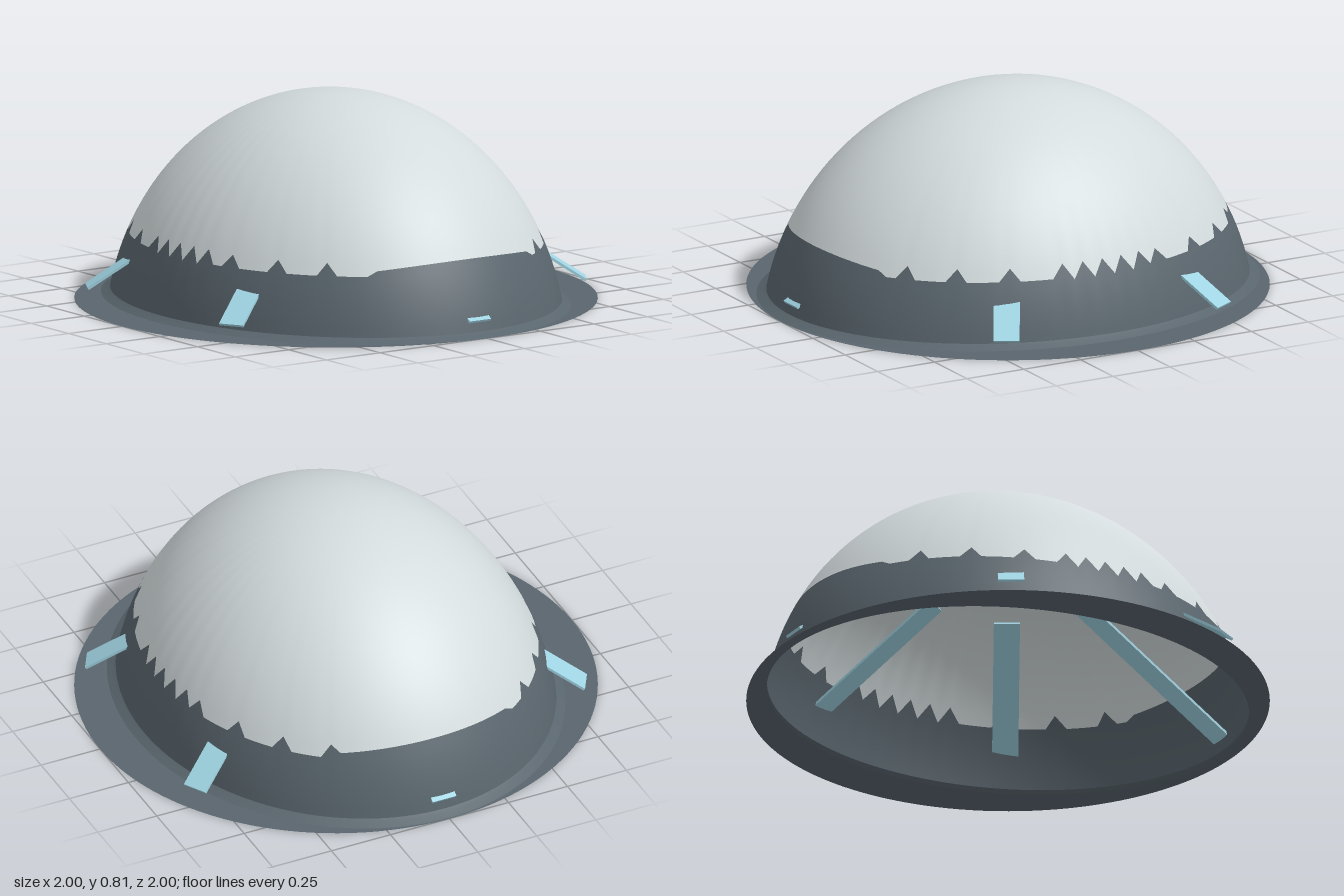
import * as THREE from 'three';

const SEGMENTS = 128;
const DEPTH = 0.85; // the dome is oval: z is 0.85 of x

const material = (name, color) => {
  const m = new THREE.MeshStandardMaterial({ color, side: THREE.DoubleSide });
  m.name = name;
  return m;
};

// Radius of the dome at a given height
const domeRadius = (y) => 0.98 * Math.sqrt(Math.max(0, 1 - ((y + 0.2) / 1.005) ** 2));

// Height of the jagged line between canopy and band
function edgeHeight(i) {
  const t = (i / SEGMENTS) * Math.PI * 2;
  const s = Math.abs(Math.sin(t)), c = Math.abs(Math.cos(t));
  if (s < 0.5) return 0.285 - 0.1 * s * s;
  if (c < 0.24) return i % 2 ? 0.235 : 0.295;
  return i % 5 === 0 ? 0.29 : 0.243;
}

// Closed oval shell; point(row, i) returns [radius, height], rows run upward
function shell(rows, point) {
  const pos = [], index = [];
  for (let r = 0; r <= rows; r++) {
    for (let i = 0; i < SEGMENTS; i++) {
      const t = (i / SEGMENTS) * Math.PI * 2;
      const [radius, y] = point(r, i);
      pos.push(Math.cos(t) * radius, y, Math.sin(t) * radius * DEPTH);
      if (r === rows) continue;
      const a = r * SEGMENTS + i, b = r * SEGMENTS + ((i + 1) % SEGMENTS);
      index.push(a, a + SEGMENTS, b, b, a + SEGMENTS, b + SEGMENTS);
    }
  }
  const g = new THREE.BufferGeometry();
  g.setAttribute('position', new THREE.Float32BufferAttribute(pos, 3));
  g.setIndex(index);
  g.computeVertexNormals();
  return g;
}

export function createModel() {
  const group = new THREE.Group();
  const pale = material('pale grey', 0xd3dbdd);
  const slate = material('slate grey', 0x59656d);
  const blue = material('light blue', 0x9fd3e2);
  const add = (name, geometry, mat) => {
    const mesh = new THREE.Mesh(geometry, mat);
    mesh.name = name;
    group.add(mesh);
    return mesh;
  };

  // Canopy, from the jagged line up to the crown
  const ROWS = 28, TOP = 0.805;
  add('canopy', shell(ROWS, (r, i) => {
    const low = Math.asin((edgeHeight(i) + 0.2) / 1.005);
    const a = low + (Math.PI / 2 - low) * (r / ROWS);
    const y = r === ROWS ? TOP : 1.005 * Math.sin(a) - 0.2;
    return [0.98 * Math.cos(a), y];
  }), pale);

  // Dark band below it
  add('band', shell(8, (r, i) => {
    const y = 0.02 + (edgeHeight(i) - 0.02) * (r / 8);
    return [domeRadius(y), y];
  }), slate);

  // Small flare at the foot of the band
  add('foot', shell(2, (r) => [[0.995, 0], [0.97, 0.012], [domeRadius(0.02), 0.02]][r]), slate);

  // Flat round brim with an oval opening
  const brim = new THREE.Shape().absarc(0, 0, 1, 0, Math.PI * 2, false);
  brim.holes.push(new THREE.Path().absellipse(0, 0, 0.957, 0.957 * DEPTH, 0, Math.PI * 2, true));
  add('brim', new THREE.ShapeGeometry(brim, 64).rotateX(-Math.PI / 2), slate);

  // Six sloping slats that pass through the band
  const outer = new THREE.Vector2(0.955, 0.06), inner = new THREE.Vector2(0.32, 0.475);
  const slope = Math.atan2(inner.y - outer.y, outer.x - inner.x);
  const slat = new THREE.BoxGeometry(outer.distanceTo(inner), 0.01, 0.1)
    .rotateZ(-slope)
    .translate((outer.x + inner.x) / 2, (outer.y + inner.y) / 2, 0);
  for (let k = 0; k < 6; k++) {
    add('slat', slat, blue).rotation.y = (k * Math.PI) / 3;
  }
  return group;
}
